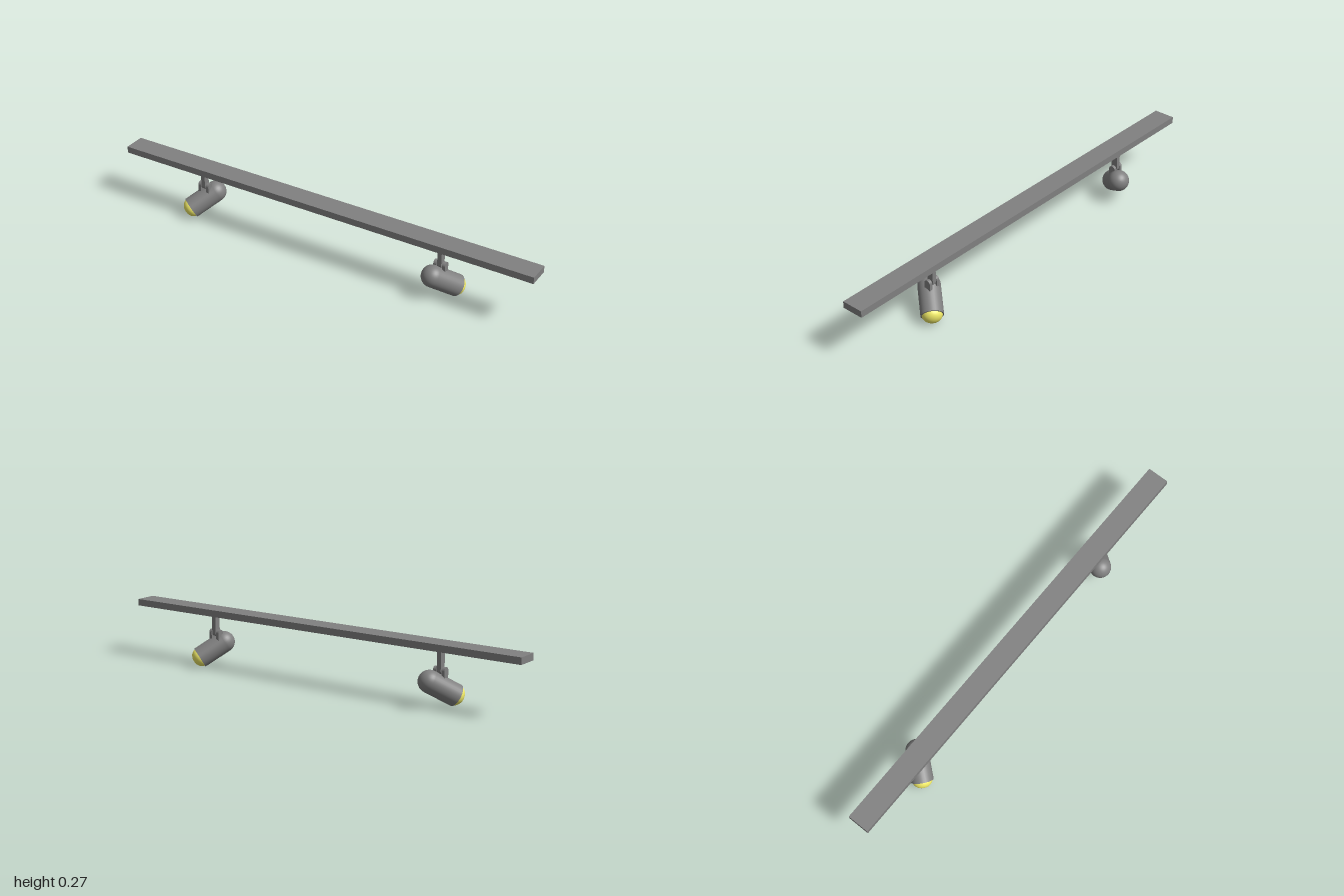
import * as THREE from 'three';

const dark = new THREE.MeshStandardMaterial({ color: 0x808080 });
const darkDouble = new THREE.MeshStandardMaterial({ color: 0x808080, side: THREE.DoubleSide });
const yellow = new THREE.MeshStandardMaterial({ color: 0xf0ea68 });

function add(parent, name, geometry, material = dark, x = 0, y = 0, z = 0) {
  const mesh = new THREE.Mesh(geometry, material);
  mesh.name = name;
  mesh.position.set(x, y, z);
  parent.add(mesh);
  return mesh;
}

// Rectangle outline centred on the origin
function rect(PathType, w, h) {
  const p = new PathType();
  p.moveTo(-w / 2, -h / 2);
  p.lineTo(w / 2, -h / 2);
  p.lineTo(w / 2, h / 2);
  p.lineTo(-w / 2, h / 2);
  p.closePath();
  return p;
}

// Upright plate, thin in x, with a rounded top or bottom end
function roundedPlate(thickness, width, y0, y1, roundTop) {
  const r = width / 2;
  const s = new THREE.Shape();
  if (roundTop) {
    s.moveTo(-r, y0);
    s.lineTo(r, y0);
    s.absarc(0, y1 - r, r, 0, Math.PI, false);
  } else {
    s.moveTo(r, y1);
    s.lineTo(-r, y1);
    s.absarc(0, y0 + r, r, Math.PI, Math.PI * 2, false);
  }
  s.closePath();
  const g = new THREE.ExtrudeGeometry(s, { depth: thickness, bevelEnabled: false, curveSegments: 12 });
  g.translate(0, 0, -thickness / 2);
  g.rotateY(Math.PI / 2);
  return g;
}

// Ceiling rail with a long slot in its underside
function makeRail() {
  const rail = new THREE.Group();
  rail.name = 'rail';
  const frame = rect(THREE.Shape, 2, 0.098);
  frame.holes.push(rect(THREE.Path, 1.93, 0.045));
  const g = new THREE.ExtrudeGeometry(frame, { depth: 0.022, bevelEnabled: false });
  g.rotateX(-Math.PI / 2);
  add(rail, 'slottedTrack', g, dark, 0, 0.24, 0.009);
  add(rail, 'railTop', new THREE.BoxGeometry(2, 0.008, 0.098), dark, 0, 0.266, 0.009);
  return rail;
}

// Spotlight: stem, fork and a tilted barrel starting at its domed back
function makeSpot(name, stemX, stemZ, back, direction) {
  const spot = new THREE.Group();
  spot.name = name;
  add(spot, 'stem', roundedPlate(0.019, 0.03, 0.142, 0.252, false), dark, stemX, 0, stemZ);
  for (const side of [-1, 1]) {
    add(spot, 'forkPlate', roundedPlate(0.014, 0.03, 0.112, 0.173, true), dark, stemX + side * 0.02, 0, stemZ);
  }
  const pin = add(spot, 'pivotPin', new THREE.CylinderGeometry(0.006, 0.006, 0.04, 12), dark, stemX, 0.157, stemZ);
  pin.rotation.z = Math.PI / 2;

  const barrel = new THREE.Group();
  barrel.name = 'barrel';
  const r = 0.048, length = 0.132;
  const profile = [];
  for (let i = 0; i <= 12; i++) {
    const a = (i / 12) * Math.PI / 2;
    profile.push(new THREE.Vector2(r * Math.sin(a), -r * Math.cos(a)));
  }
  profile.push(new THREE.Vector2(r, length));
  add(barrel, 'housing', new THREE.LatheGeometry(profile, 32), darkDouble);
  const rim = add(barrel, 'rim', new THREE.RingGeometry(0.042, r, 32), darkDouble, 0, length, 0);
  rim.rotation.x = -Math.PI / 2;
  const dome = new THREE.SphereGeometry(0.043, 32, 12, 0, Math.PI * 2, 0, Math.PI / 2);
  dome.scale(1, 0.8, 1);
  add(barrel, 'bulb', dome, yellow, 0, length - 0.003, 0);
  barrel.position.set(...back);
  barrel.quaternion.setFromUnitVectors(
    new THREE.Vector3(0, 1, 0), new THREE.Vector3(...direction).normalize());
  spot.add(barrel);
  return spot;
}

export function createModel() {
  const model = new THREE.Group();
  model.name = 'trackLight';
  model.add(makeRail());
  model.add(makeSpot('leftSpot', 0.572, 0.009, [0.554, 0.111, 0.044], [0.56, -0.52, -0.65]));
  model.add(makeSpot('rightSpot', -0.618, -0.002, [-0.591, 0.114, -0.042], [-0.557, -0.49, 0.665]));
  return model;
}
